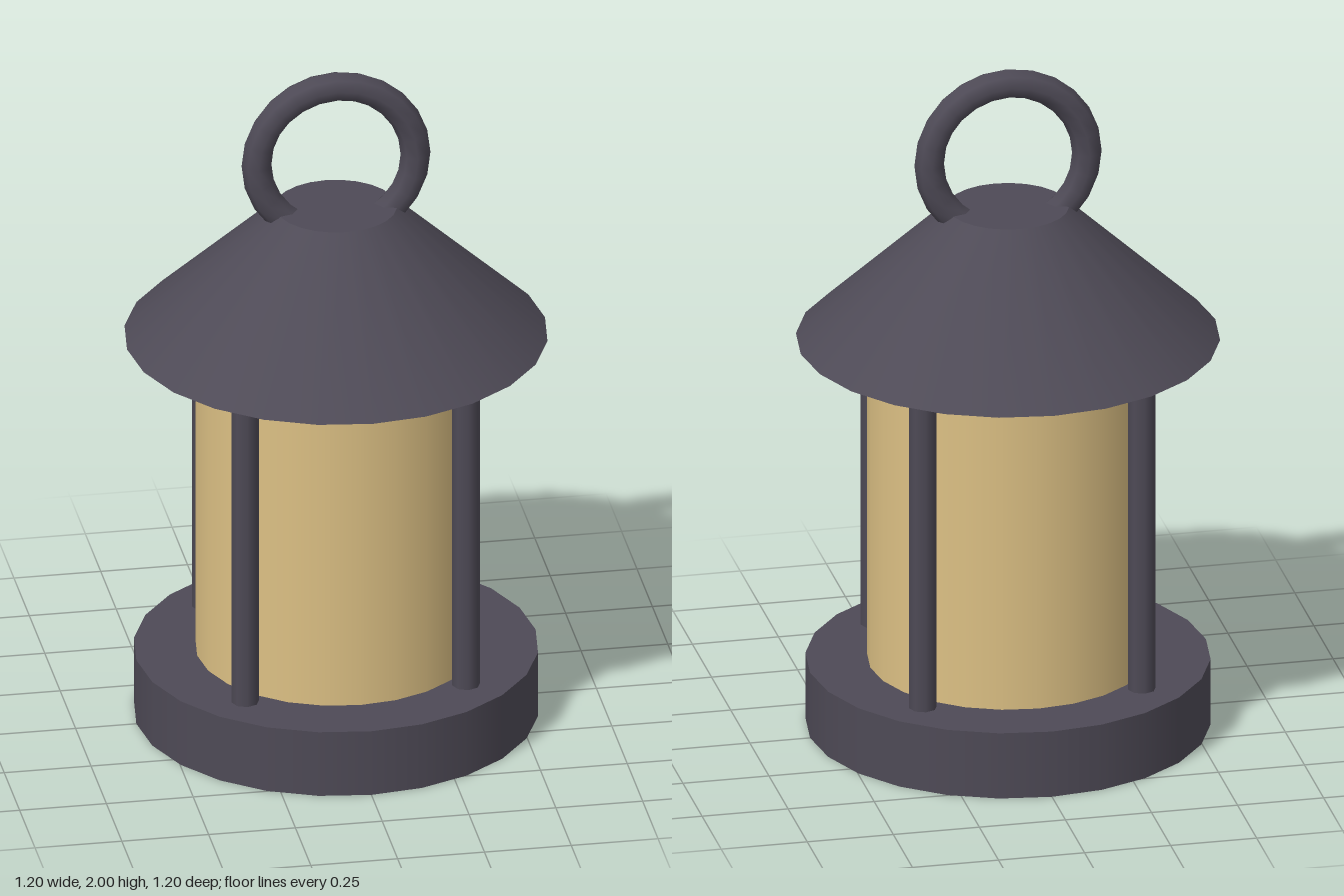
import * as THREE from 'three';

export function createModel() {
  const metal = new THREE.MeshStandardMaterial({ color: 0x4e4a56 });
  metal.name = 'darkMetal';
  const amber = new THREE.MeshStandardMaterial({ color: 0xdcc084 });
  amber.name = 'amberGlass';

  const model = new THREE.Group();
  model.name = 'lantern';

  function add(name, geometry, material, x, y, z) {
    const mesh = new THREE.Mesh(geometry, material);
    mesh.name = name;
    mesh.position.set(x, y, z);
    model.add(mesh);
  }

  // Upright cylinder or cone frustum spanning two heights
  function column(name, topRadius, bottomRadius, y0, y1, sides, material, x = 0, z = 0) {
    const geometry = new THREE.CylinderGeometry(topRadius, bottomRadius, y1 - y0, sides);
    add(name, geometry, material, x, (y0 + y1) / 2, z);
  }

  // Body
  column('base', 0.575, 0.575, 0, 0.2, 24, metal);
  column('glass', 0.4, 0.4, 0.2, 1.18, 24, amber);
  column('roof', 0.173, 0.602, 1.18, 1.58, 24, metal);

  // Four corner posts
  for (const sx of [-1, 1]) {
    for (const sz of [-1, 1]) {
      column('post', 0.04, 0.04, 0.2, 1.18, 8, metal, sx * 0.318, sz * 0.318);
    }
  }

  // Carrying ring, its lower part sunk into the roof
  add('ring', new THREE.TorusGeometry(0.229, 0.043, 8, 24), metal, 0, 1.728, 0);

  return model;
}
